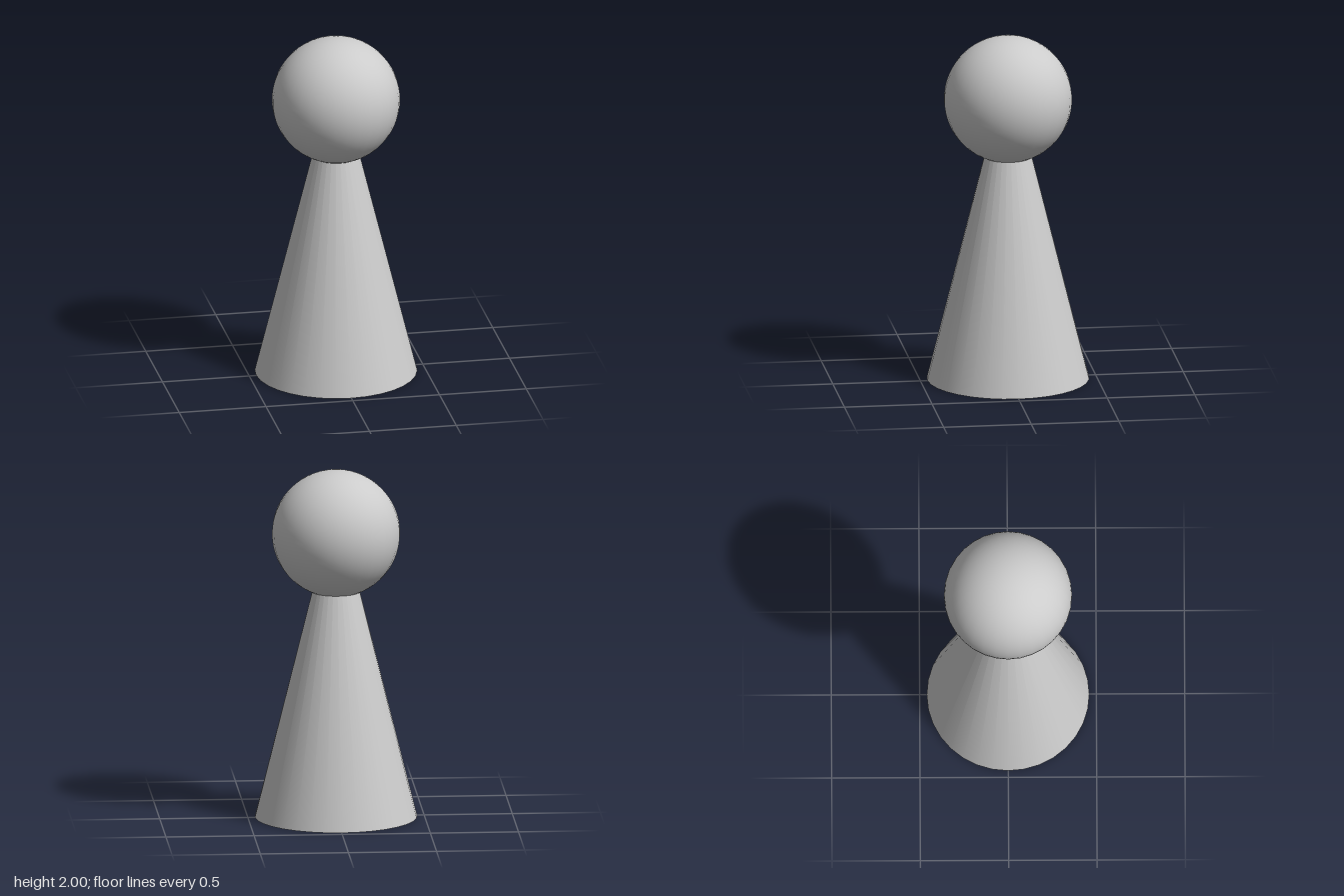
import * as THREE from 'three';

export function createModel() {
  const model = new THREE.Group();
  const material = new THREE.MeshStandardMaterial({ color: 0xcccccc });

  const addPart = (name, geometry, y) => {
    const mesh = new THREE.Mesh(geometry, material);
    mesh.name = name;
    mesh.position.y = y;
    model.add(mesh);
  };

  // Full cone, its tip hidden inside the ball
  const bodyHeight = 1.84;
  addPart('body', new THREE.ConeGeometry(0.46, bodyHeight, 32), bodyHeight / 2);

  // Ball head reaching the full height of 2
  const headRadius = 0.363;
  addPart('head', new THREE.SphereGeometry(headRadius, 32, 32), 2 - headRadius);

  return model;
}
